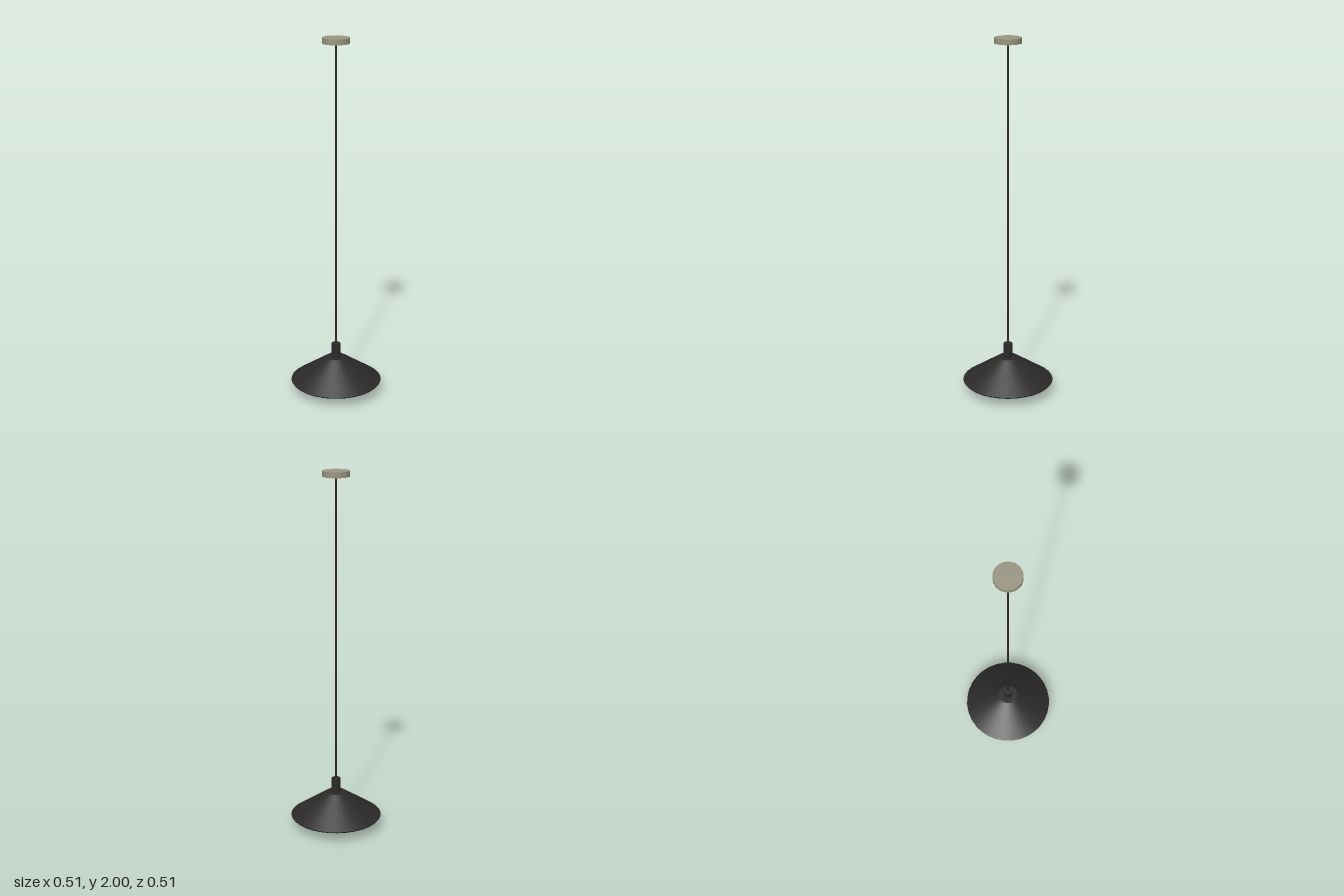
import * as THREE from 'three';

const mat = (color, extra = {}) => new THREE.MeshStandardMaterial({ color, ...extra });

export function createModel() {
  const group = new THREE.Group();
  const black = mat(0x2b2a29);
  const stone = mat(0x9a9683);
  const amber = mat(0xd9a05f, { flatShading: true });

  // Upright cylinder or cone between two heights
  const turned = (name, rTop, rBottom, y0, y1, sides, material, open = false) => {
    const mesh = new THREE.Mesh(
      new THREE.CylinderGeometry(rTop, rBottom, y1 - y0, sides, 1, open), material);
    mesh.name = name;
    mesh.position.y = (y0 + y1) / 2;
    group.add(mesh);
  };

  // Ceiling mount, cord and the collar that holds the shade
  turned('ceilingCanopy', 0.073, 0.073, 1.97, 2, 16, stone);
  turned('cord', 0.005, 0.005, 0.27, 1.975, 8, black);
  turned('collar', 0.025, 0.025, 0.195, 0.283, 16, black);

  // Conical shade with a small chamfered rim
  turned('shadeTop', 0.055, 0.055, 0.198, 0.202, 32, black);
  turned('shade', 0.055, 0.253, 0.067, 0.202, 32, black, true);
  turned('shadeRim', 0.253, 0.246, 0.059, 0.067, 32, black, true);

  // Pale panel closing the underside, with the bulb below it
  turned('shadeLining', 0.246, 0.246, 0.059, 0.064, 32, stone);
  turned('bulb', 0.028, 0.037, 0, 0.062, 12, amber);

  return group;
}
